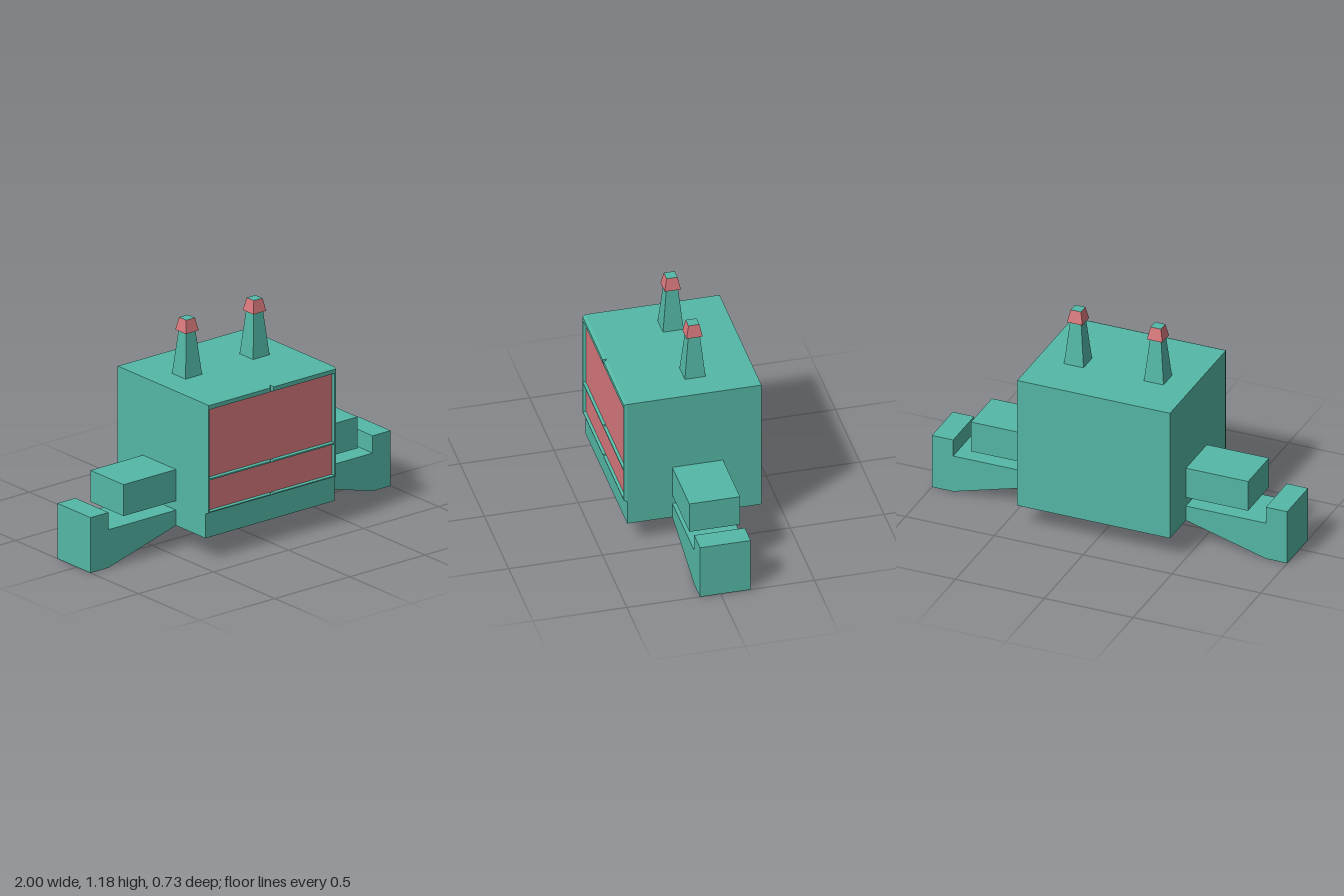
import * as THREE from 'three';

const teal = new THREE.MeshStandardMaterial({ color: 0x54b8a6, flatShading: true });
const red = new THREE.MeshStandardMaterial({ color: 0xd8787c, flatShading: true });

function add(parent, name, geometry, material, x = 0, y = 0, z = 0) {
  const mesh = new THREE.Mesh(geometry, material);
  mesh.name = name;
  mesh.position.set(x, y, z);
  parent.add(mesh);
  return mesh;
}

function polygon(points) {
  return new THREE.Shape(points.map(([x, y]) => new THREE.Vector2(x, y)));
}

// Square tapered post standing on y = 0; sizes are half widths
function post(top, bottom, height) {
  const g = new THREE.CylinderGeometry(top * Math.SQRT2, bottom * Math.SQRT2, height, 4);
  g.rotateY(Math.PI / 4);
  g.translate(0, height / 2, 0);
  return g.toNonIndexed();
}

export function createModel() {
  const model = new THREE.Group();
  model.name = 'boxCreature';

  add(model, 'body', new THREE.BoxGeometry(0.86, 0.74, 0.715), teal, 0, 0.495, -0.0075);

  // Inset front panels
  add(model, 'upperPanel', new THREE.BoxGeometry(0.83, 0.385, 0.01), red, 0, 0.645, 0.348);
  add(model, 'lowerPanel', new THREE.BoxGeometry(0.83, 0.17, 0.01), red, 0, 0.357, 0.348);

  // Raised front rim: an E-shaped half, split by a narrow notch at the middle
  const rimHalf = (s) => {
    const pts = [
      [0.004, 0.26], [0.43, 0.26], [0.43, 0.865], [0.004, 0.865],
      [0.004, 0.83], [0.41, 0.83], [0.41, 0.46], [0.004, 0.46],
      [0.004, 0.44], [0.41, 0.44], [0.41, 0.278], [0.004, 0.278],
    ];
    const g = new THREE.ExtrudeGeometry(polygon(pts.map(([x, y]) => [s * x, y])), {
      depth: 0.01, bevelEnabled: true, bevelSegments: 1,
      bevelThickness: 0.016, bevelSize: 0.006, bevelOffset: -0.006,
    });
    g.translate(0, 0, 0.341);
    return g;
  };

  // Foot outline: sloped underside and an upturned block at the end
  const legPoints = [
    [0.42, 0.128], [0.43, 0.125], [0.88, 0], [1, 0], [1, 0.305],
    [0.88, 0.305], [0.88, 0.21], [0.42, 0.21],
  ];

  for (const [s, side] of [[1, 'left'], [-1, 'right']]) {
    add(model, side + 'FrontRim', rimHalf(s), teal);

    const leg = new THREE.ExtrudeGeometry(
      polygon(legPoints.map(([x, y]) => [s * x, y])), { depth: 0.27, bevelEnabled: false });
    add(model, side + 'Leg', leg, teal, 0, 0, -0.16);

    add(model, side + 'Arm', new THREE.BoxGeometry(0.36, 0.173, 0.27), teal, s * 0.6, 0.3475, -0.025);

    // Antenna with a flared cap, red on its sides only
    const antenna = new THREE.Group();
    antenna.name = side + 'Antenna';
    antenna.position.set(s * 0.225, 0.865, -0.051);
    add(antenna, 'stalk', post(0.031, 0.055, 0.242), teal);
    add(antenna, 'cap', post(0.029, 0.043, 0.069), [red, teal, red], 0, 0.242);
    model.add(antenna);
  }

  return model;
}
